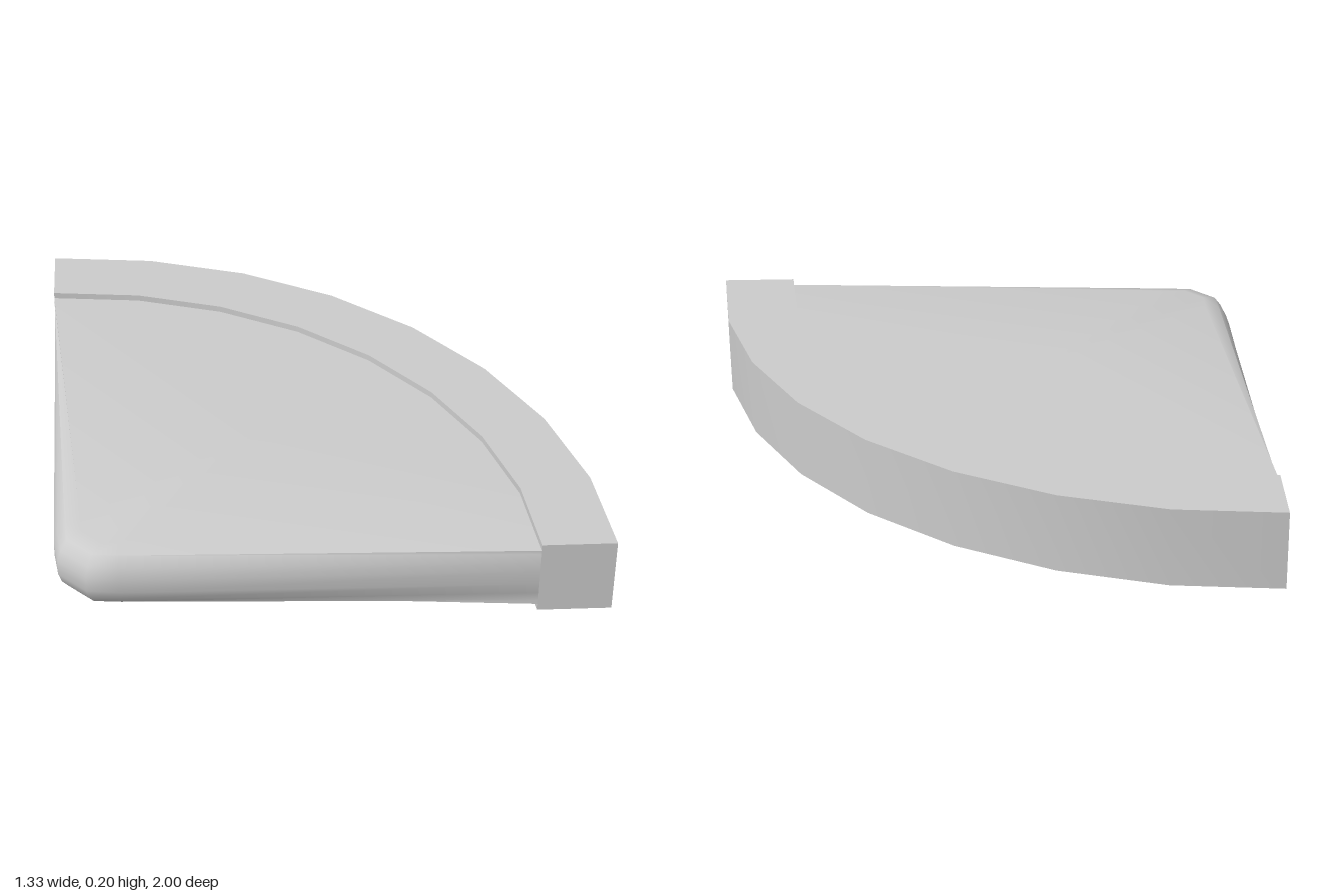
import * as THREE from 'three';
import { toCreasedNormals } from 'three/addons/utils/BufferGeometryUtils.js';

const CENTER_X = -0.75, OUTER = 1.414, INNER = 1.225, STEPS = 8;

// Points of a quarter arc about the wedge's apex, as [x, z]
function arc(radius) {
  return Array.from({ length: STEPS + 1 }, (_, i) => {
    const a = -Math.PI / 4 + (i / STEPS) * (Math.PI / 2);
    return [CENTER_X + radius * Math.cos(a), radius * Math.sin(a)];
  });
}

// Wedge outline with a blunt tip; the inset acts on the tip only,
// so the rounded sides fade to square where they meet the rim
function outline(inset) {
  const side = [-0.617 + 0.8 * inset, 0.115 - 0.6 * inset];
  const nose = [-0.667 + inset, 0.05 - 0.2 * inset];
  return [...arc(INNER), side, nose, [nose[0], -nose[1]], [side[0], -side[1]]];
}

function wedgeGeometry() {
  // [height, inset] from bottom to top
  const layers = [
    [0.019, 0.07], [0.03, 0.03], [0.055, 0.01], [0.083, 0],
    [0.124, 0], [0.152, 0.01], [0.177, 0.03], [0.188, 0.07],
  ];
  const positions = [], index = [];
  for (const [y, inset] of layers) {
    for (const [x, z] of outline(inset)) positions.push(x, y, z);
  }
  const n = STEPS + 5, last = (layers.length - 1) * n;
  const bottom = layers.length * n, top = bottom + 1;
  positions.push(0, layers[0][0], 0, 0, layers[layers.length - 1][0], 0);
  for (let i = 0; i < n; i++) {
    const j = (i + 1) % n;
    for (let k = 0; k < last; k += n) {
      index.push(k + i, k + n + i, k + j, k + j, k + n + i, k + n + j);
    }
    index.push(bottom, i, j, top, last + j, last + i);
  }
  const geometry = new THREE.BufferGeometry();
  geometry.setAttribute('position', new THREE.Float32BufferAttribute(positions, 3));
  geometry.setIndex(index);
  return toCreasedNormals(geometry, 0.75);
}

// Thick curved rim with square ends
function rimGeometry() {
  const points = [...arc(OUTER), ...arc(INNER).reverse()];
  const shape = new THREE.Shape(points.map(([x, z]) => new THREE.Vector2(x, -z)));
  const geometry = new THREE.ExtrudeGeometry(shape, { depth: 0.205, bevelEnabled: false });
  geometry.rotateX(-Math.PI / 2);
  return toCreasedNormals(geometry, 0.6);
}

export function createModel() {
  const group = new THREE.Group();
  group.name = 'slice';
  const material = new THREE.MeshStandardMaterial({ color: 0xcccccc });
  const parts = { wedge: wedgeGeometry(), crust: rimGeometry() };
  for (const [name, geometry] of Object.entries(parts)) {
    const mesh = new THREE.Mesh(geometry, material);
    mesh.name = name;
    group.add(mesh);
  }
  return group;
}
